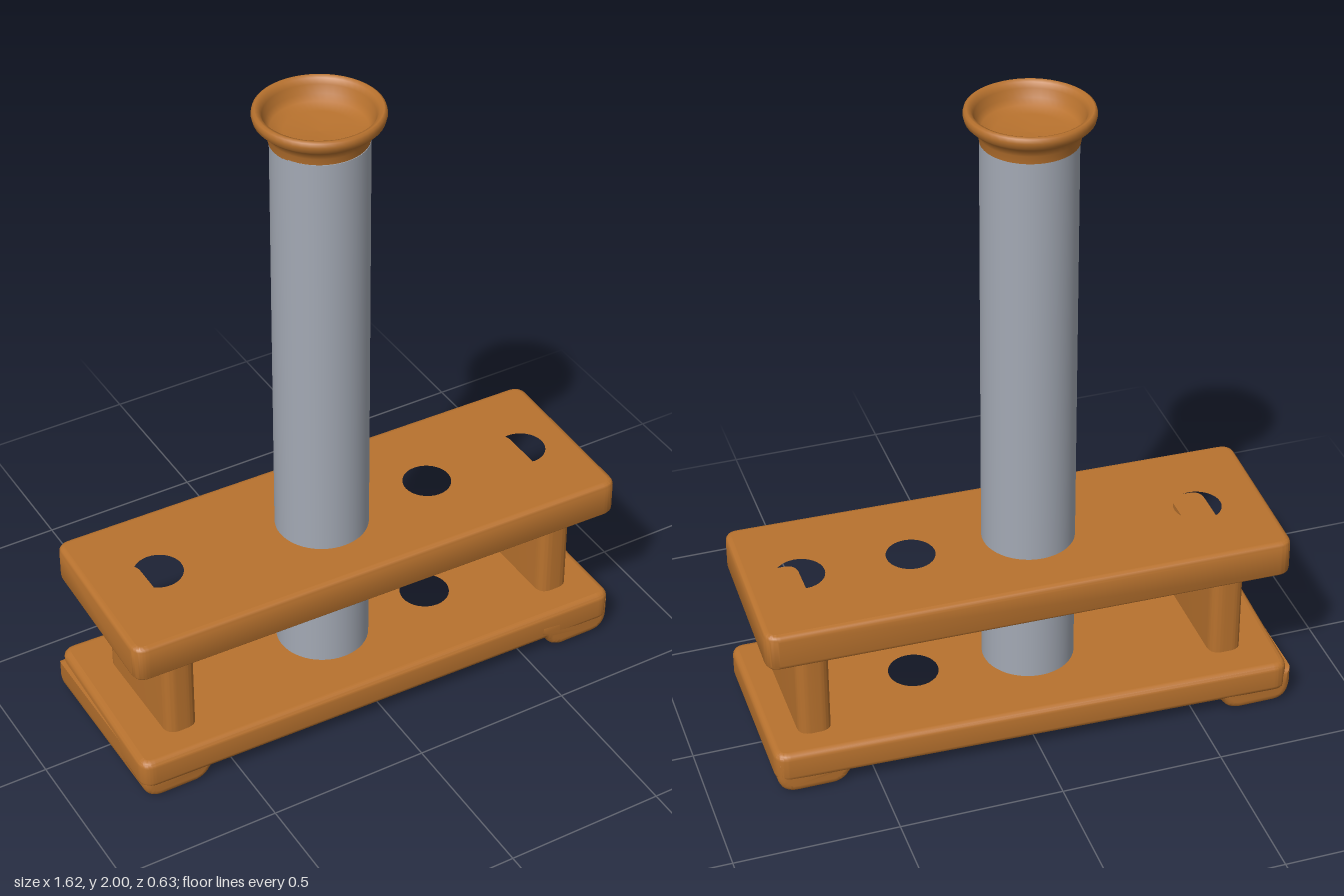
import * as THREE from 'three';
import { toCreasedNormals } from 'three/addons/utils/BufferGeometryUtils.js';

const wood = new THREE.MeshStandardMaterial({ color: 0xb8722e });
wood.name = 'orange wood';
const metal = new THREE.MeshStandardMaterial({ color: 0xa3a9b4 });
metal.name = 'grey tube';

// Smooth the rounded edges but keep the large flat faces flat
function soften(geo) {
  const flat = geo.attributes.normal.clone();
  const out = toCreasedNormals(geo, 0.65);
  const n = out.attributes.normal;
  for (let i = 0; i < n.count; i++) {
    if (Math.abs(flat.getY(i)) > 0.999) n.setXYZ(i, 0, Math.sign(flat.getY(i)), 0);
  }
  return out;
}

// Four-sided outline with rounded corners, corners given as [x, z]
function roundedQuad(corners, r) {
  const p = corners.map(([x, z]) => new THREE.Vector2(x, -z));
  const shape = new THREE.Shape();
  p.forEach((c, i) => {
    const toward = (q) => q.clone().sub(c).setLength(r).add(c);
    const a = toward(p[(i + 3) % 4]);
    const b = toward(p[(i + 1) % 4]);
    if (i) shape.lineTo(a.x, a.y);
    else shape.moveTo(a.x, a.y);
    shape.quadraticCurveTo(c.x, c.y, b.x, b.y);
  });
  shape.closePath();
  return shape;
}

// Horizontal slab from y0 to y1 with round holes [x, z, radius]
function slab(name, corners, r, y0, y1, bevel, holes = []) {
  const shape = roundedQuad(corners, r);
  for (const [x, z, radius] of holes) {
    shape.holes.push(new THREE.Path().absarc(x, -z, radius, 0, Math.PI * 2, true));
  }
  const geo = new THREE.ExtrudeGeometry(shape, {
    depth: y1 - y0 - 2 * bevel, curveSegments: 16,
    bevelEnabled: bevel > 0, bevelThickness: bevel, bevelSize: bevel,
    bevelOffset: -bevel, bevelSegments: 4,
  });
  geo.rotateX(-Math.PI / 2).translate(0, y0 + bevel, 0);
  const mesh = new THREE.Mesh(soften(geo), wood);
  mesh.name = name;
  return mesh;
}

// Rounded foot across one end of the base; side is -1 or 1
function foot(name, side, end, z0, z1) {
  const s = new THREE.Shape();
  const b = 0.025;
  s.moveTo(side * end, 0.115);
  s.lineTo(side * end, 0.06);
  s.quadraticCurveTo(side * (end - 0.005), 0, side * (end - 0.06), 0);
  s.lineTo(side * (end - 0.17), 0);
  s.quadraticCurveTo(side * (end - 0.2), 0.004, side * (end - 0.215), 0.025);
  s.quadraticCurveTo(side * (end - 0.23), 0.05, side * (end - 0.26), 0.06);
  s.lineTo(side * (end - 0.26), 0.115);
  s.closePath();
  const geo = new THREE.ExtrudeGeometry(s, {
    depth: z1 - z0 - 2 * b, curveSegments: 8,
    bevelThickness: b, bevelSize: b, bevelOffset: -b, bevelSegments: 4,
  });
  geo.translate(0, 0, z0 + b);
  const mesh = new THREE.Mesh(soften(geo), wood);
  mesh.name = name;
  return mesh;
}

export function createModel() {
  const model = new THREE.Group();
  model.name = 'tubeRack';
  const tubeX = -0.06, tubeZ = 0.01;

  // Upper and lower boards, slightly skewed
  model.add(slab('topBoard',
    [[-0.795, -0.288], [0.815, -0.26], [0.803, 0.305], [-0.812, 0.268]],
    0.045, 0.46, 0.58, 0.018,
    [[-0.59, -0.02, 0.092], [tubeX, tubeZ, 0.147], [0.305, 0.012, 0.092], [0.64, 0.02, 0.092]]));
  model.add(slab('baseBoard',
    [[-0.79, -0.318], [0.805, -0.264], [0.803, 0.312], [-0.812, 0.277]],
    0.045, 0.047, 0.145, 0.02, [[0.305, 0.012, 0.097]]));
  model.add(foot('rightFoot', -1, 0.806, -0.308, 0.274));
  model.add(foot('leftFoot', 1, 0.8, -0.262, 0.308));

  // Posts joining the boards
  for (const [name, x, z] of [['rightPost', -0.633, -0.004], ['leftPost', 0.66, 0.014]]) {
    const w = 0.051, d = 0.195;
    model.add(slab(name,
      [[x - w, z - d], [x + w, z - d], [x + w, z + d], [x - w, z + d]],
      0.04, 0.13, 0.475, 0));
  }

  // Tall tube standing on the base
  const tube = new THREE.Mesh(new THREE.CylinderGeometry(0.139, 0.141, 1.775, 48), metal);
  tube.name = 'tube';
  tube.position.set(tubeX, 0.13 + 1.775 / 2, tubeZ);
  model.add(tube);

  // Flared rim with a shallow dished inside
  const profile = [
    [0.14, 1.9], [0.144, 1.925], [0.152, 1.945], [0.17, 1.957], [0.181, 1.968],
    [0.185, 1.984], [0.182, 1.996], [0.175, 2], [0.163, 1.995], [0.155, 1.98],
    [0.148, 1.955], [0.135, 1.938], [0.1, 1.928], [0, 1.924],
  ].map(([r, y]) => new THREE.Vector2(r, y));
  const rim = new THREE.Mesh(new THREE.LatheGeometry(profile, 48), wood);
  rim.name = 'flaredRim';
  rim.position.set(tubeX, 0, 0.006);
  model.add(rim);

  return model;
}
